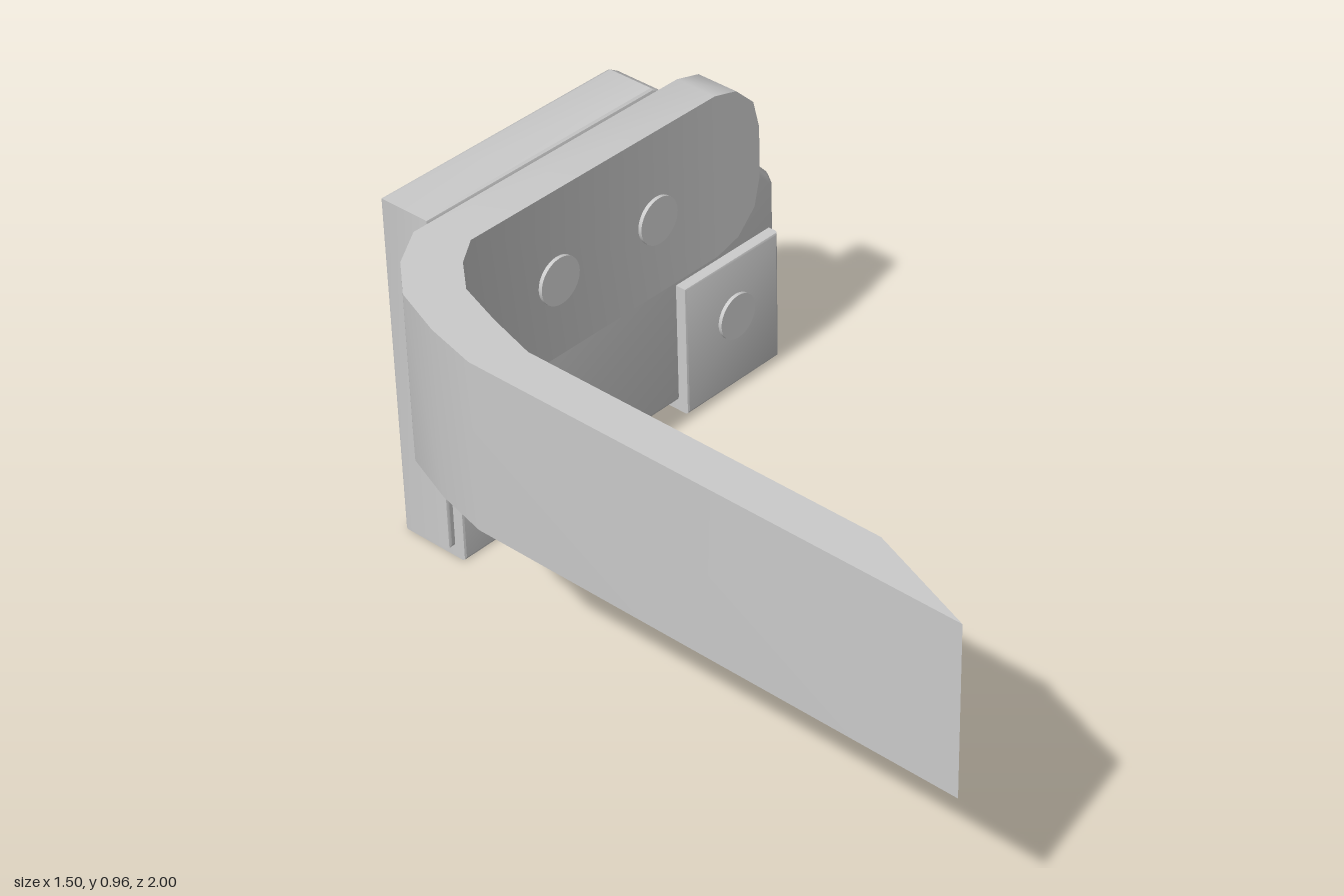
import * as THREE from 'three';
import { toCreasedNormals } from 'three/addons/utils/BufferGeometryUtils.js';

const material = new THREE.MeshStandardMaterial({ color: 0xcccccc });

function addMesh(parent, name, geometry) {
  const mesh = new THREE.Mesh(geometry, material);
  mesh.name = name;
  parent.add(mesh);
  return mesh;
}

// Flat slab from an xy outline, spanning z0..z1, with small bevelled edges
function slab(points, z0, z1, bevel) {
  const shape = new THREE.Shape(points.map(([x, y]) => new THREE.Vector2(x, y)));
  const geometry = new THREE.ExtrudeGeometry(shape, {
    depth: z1 - z0 - 2 * bevel,
    bevelSize: bevel, bevelThickness: bevel, bevelOffset: -bevel, bevelSegments: 2,
  });
  geometry.translate(0, 0, z0 + bevel);
  return toCreasedNormals(geometry, 0.5);
}

// Bent bar: each station is [outerX, outerZ, innerX, innerZ, halfHeight]
function bentBar(stations, midY) {
  const positions = [];
  const index = [];
  stations.forEach(([ox, oz, ix, iz, h], s) => {
    positions.push(ox, midY - h, oz, ix, midY - h, iz, ix, midY + h, iz, ox, midY + h, oz);
    if (s === 0) return;
    const a = (s - 1) * 4;
    const b = s * 4;
    for (let k = 0; k < 4; k++) {
      const n = (k + 1) % 4;
      index.push(a + k, a + n, b + n, a + k, b + n, b + k);
    }
  });
  const e = (stations.length - 1) * 4;
  index.push(0, 2, 1, 0, 3, 2, e, e + 1, e + 2, e, e + 2, e + 3);
  const geometry = new THREE.BufferGeometry();
  geometry.setAttribute('position', new THREE.Float32BufferAttribute(positions, 3));
  geometry.setIndex(index);
  return toCreasedNormals(geometry, 0.6);
}

// Pin running through the parts, showing a low round head on both faces
function addPin(parent, name, x, y, z0, z1) {
  const geometry = new THREE.CylinderGeometry(0.063, 0.063, z1 - z0, 32);
  geometry.rotateX(Math.PI / 2);
  addMesh(parent, name, geometry).position.set(x, y, (z0 + z1) / 2);
}

export function createModel() {
  const model = new THREE.Group();
  model.name = 'bracketWithArm';

  // Mounting plate with one cut corner
  addMesh(model, 'plate', slab([
    [-0.42, 0.03], [0.75, 0.03], [0.75, 0.5], [0.735, 0.535],
    [0.355, 0.945], [0.33, 0.96], [-0.42, 0.96],
  ], -0.97, -0.82, 0.01));

  // Curved arm: rounded tip, straight run, bend, long run, slanted end
  const back = -0.81;
  const front = -0.69;
  const H = 0.225;
  addMesh(model, 'arm', bentBar([
    [0.555, back, 0.555, front, 0.07],
    [0.535, back, 0.535, front, 0.148],
    [0.475, back, 0.475, front, 0.205],
    [0.4, back, 0.4, front, H],
    [-0.47, back, -0.41, front, H],
    [-0.575, -0.745, -0.485, -0.64, H],
    [-0.66, -0.65, -0.555, -0.56, H],
    [-0.715, -0.505, -0.6, -0.43, H],
    [-0.75, -0.36, -0.64, -0.29, H],
    [-0.755, 1, -0.645, 0.7, H],
  ], 0.735));

  // Arm pins
  for (const x of [-0.145, 0.19]) addPin(model, 'armPin', x, 0.72, -0.98, -0.68);

  // Foot clamps around the lower edge of the plate, each with a pin
  for (const [x0, x1, pinX] of [[-0.4, -0.055, -0.225], [0.388, 0.732, 0.57]]) {
    const clamp = new THREE.Group();
    clamp.name = 'footClamp';
    addMesh(clamp, 'clampBlock', slab(
      [[x0, 0], [x1, 0], [x1, 0.375], [x0, 0.375]], -0.99, -0.79, 0.007));
    addPin(clamp, 'clampPin', pinX, 0.207, -1, -0.78);
    model.add(clamp);
  }

  return model;
}
